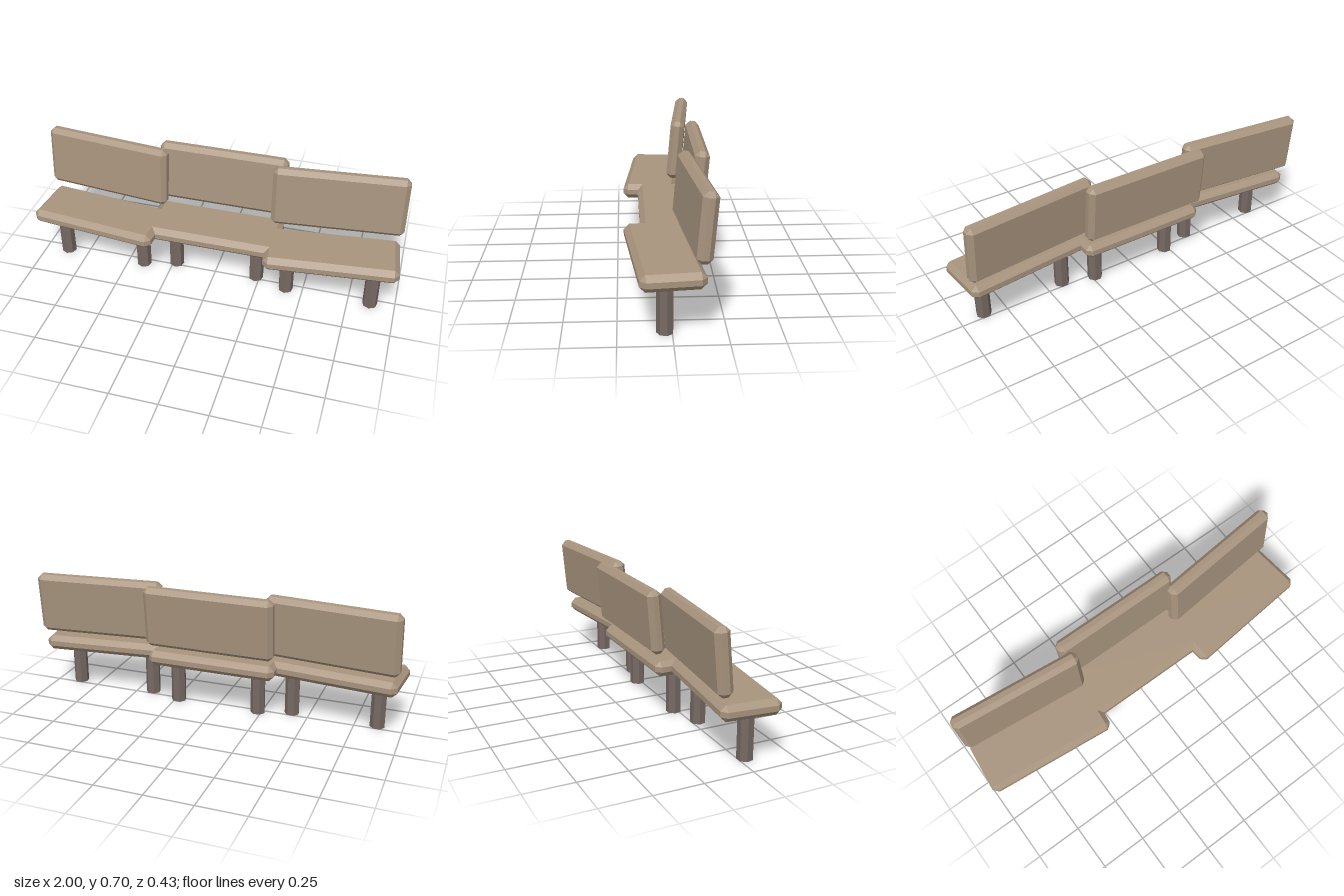
import * as THREE from 'three';
import { ConvexGeometry } from 'three/addons/geometries/ConvexGeometry.js';

// Box with every edge chamfered by c
function chamferedBox(w, h, d, c) {
  const points = [];
  for (const sx of [-1, 1]) for (const sy of [-1, 1]) for (const sz of [-1, 1]) {
    const x = w / 2, y = h / 2, z = d / 2;
    points.push(
      new THREE.Vector3(sx * x, sy * (y - c), sz * (z - c)),
      new THREE.Vector3(sx * (x - c), sy * y, sz * (z - c)),
      new THREE.Vector3(sx * (x - c), sy * (y - c), sz * z));
  }
  return new ConvexGeometry(points);
}

export function createModel() {
  const bench = new THREE.Group();
  bench.name = 'bench';

  const wood = new THREE.MeshStandardMaterial({ color: 0xa8947e, flatShading: true });
  wood.name = 'lightWood';
  const darkWood = new THREE.MeshStandardMaterial({ color: 0x766963, flatShading: true });
  darkWood.name = 'darkWood';

  const seatGeo = chamferedBox(0.7, 0.082, 0.3, 0.027);
  const backGeo = chamferedBox(0.7, 0.33, 0.075, 0.024);
  const legGeo = new THREE.CylinderGeometry(0.04, 0.04, 0.26, 7);

  function add(name, geometry, material, x, y, z) {
    const mesh = new THREE.Mesh(geometry, material);
    mesh.name = name;
    mesh.position.set(x, y, z);
    bench.add(mesh);
    return mesh;
  }

  // Three sections; the outer two stand forward and are turned slightly
  for (const [label, side] of [['right', -1], ['middle', 0], ['left', 1]]) {
    const yaw = side * 0.1;
    const seatZ = side ? 0.0325 : -0.018;

    add(label + 'Seat', seatGeo, wood, side * 0.64, 0.286, seatZ).rotation.y = yaw;

    // Backrest leaning backwards
    add(label + 'Backrest', backGeo, wood, side * 0.636, 0.5305, side ? -0.113 : -0.164)
      .rotation.set(-0.085, yaw, 0, 'YXZ');

    // Seven-sided legs, sunk a little into the seat
    for (const end of [-1, 1]) {
      add(label + (end < 0 ? 'LegA' : 'LegB'), legGeo, darkWood,
        side * 0.638 + end * 0.23, 0.13, seatZ);
    }
  }
  return bench;
}
